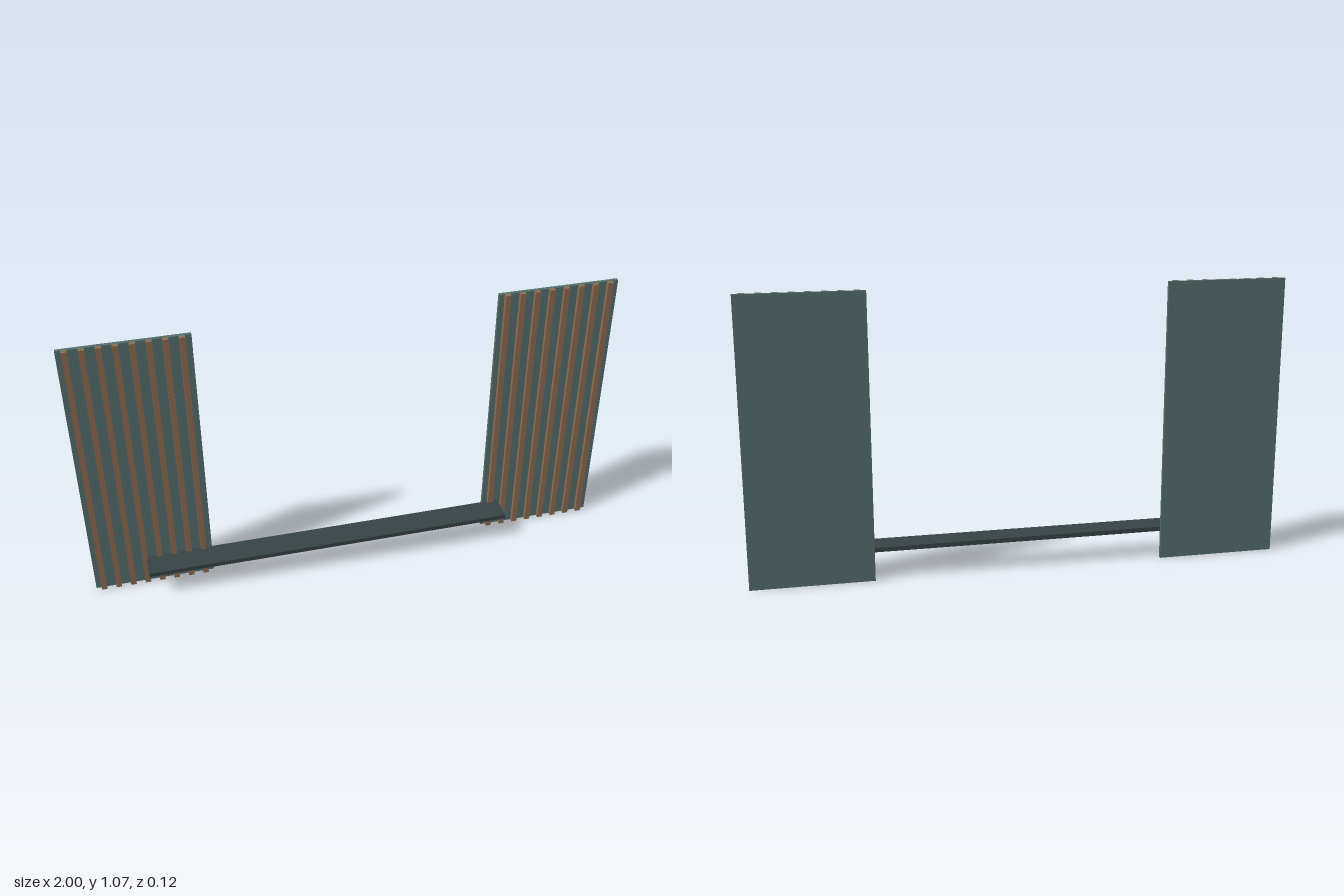
import * as THREE from 'three';

export function createModel() {
  const model = new THREE.Group();
  model.name = 'slattedWallPanelsWithShelf';

  const panelGreen = new THREE.MeshStandardMaterial({ color: 0x546f6d });
  panelGreen.name = 'panel grey green';
  const slatBrown = new THREE.MeshStandardMaterial({ color: 0x8f6c52 });
  slatBrown.name = 'slat brown';
  const shelfDark = new THREE.MeshStandardMaterial({ color: 0x374346 });
  shelfDark.name = 'shelf dark slate';

  // Box given by its lower and upper limits on each axis
  function box(name, material, [x0, x1], [y0, y1], [z0, z1], parent) {
    const mesh = new THREE.Mesh(new THREE.BoxGeometry(x1 - x0, y1 - y0, z1 - z0), material);
    mesh.position.set((x0 + x1) / 2, (y0 + y1) / 2, (z0 + z1) / 2);
    mesh.name = name;
    parent.add(mesh);
  }

  const height = 1.068;
  const panelWidth = 0.453;
  const slatCount = 8;
  const slatWidth = 0.021;
  const slatPitch = 0.0557;

  // Two backing boards, each with a row of upright slats
  for (const [name, left] of [['rightPanel', -1], ['leftPanel', 0.547]]) {
    const panel = new THREE.Group();
    panel.name = name;
    box('backingBoard', panelGreen, [left, left + panelWidth], [0, height], [-0.058, -0.045], panel);
    for (let i = 0; i < slatCount; i++) {
      const x = left + 0.03 + i * slatPitch;
      box('slat', slatBrown, [x - slatWidth / 2, x + slatWidth / 2], [0, height], [-0.045, -0.03], panel);
    }
    model.add(panel);
  }

  // Long low shelf, its back edge let into the slats
  box('shelf', shelfDark, [-0.798, 0.609], [0.104, 0.121], [-0.041, 0.058], model);

  return model;
}
